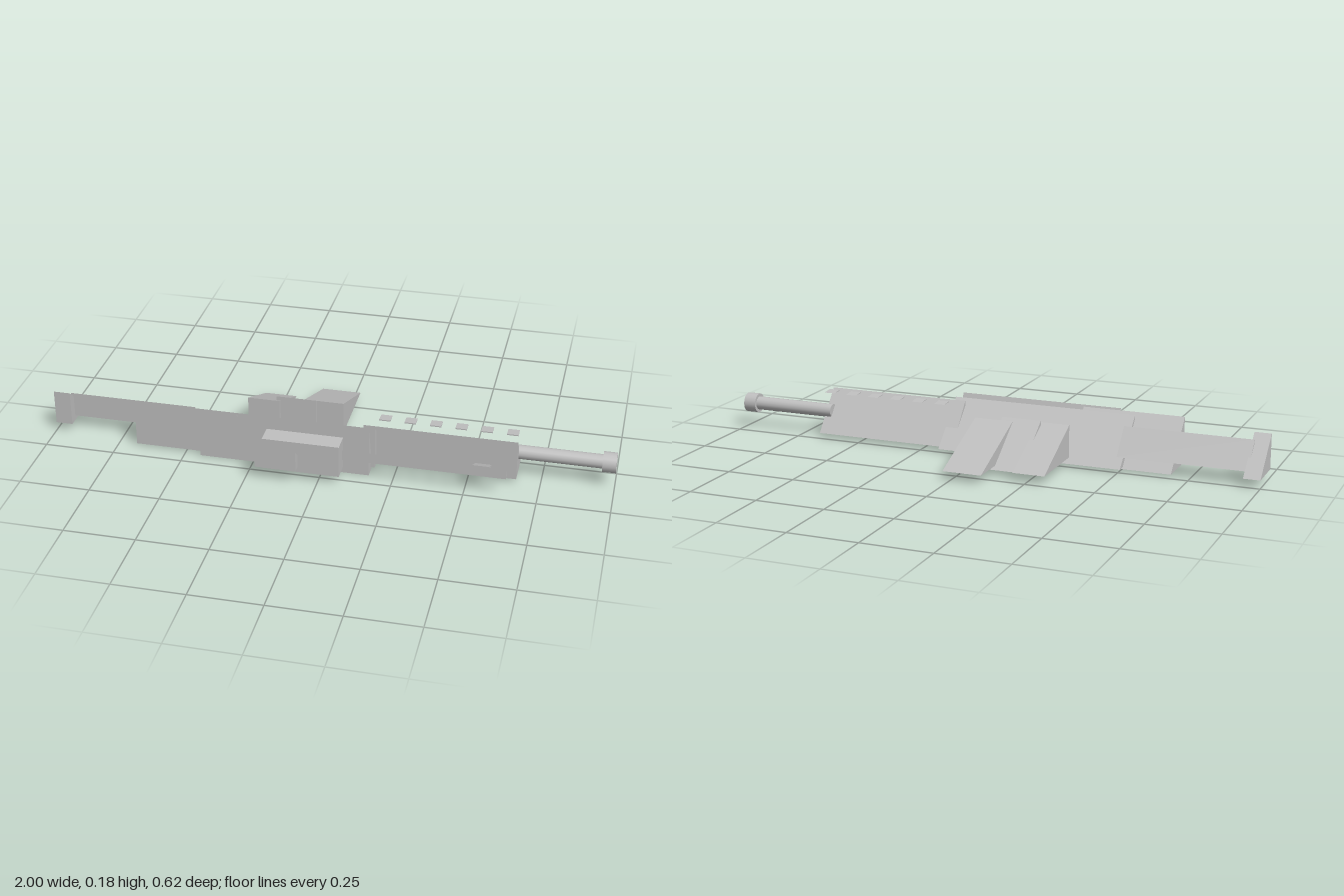
import * as THREE from 'three';

export function createModel() {
  const model = new THREE.Group();
  model.name = 'rifle';
  const grey = new THREE.MeshStandardMaterial({ color: 0xc0c0c0 });
  grey.name = 'grey';

  function add(name, geometry) {
    const mesh = new THREE.Mesh(geometry, grey);
    mesh.name = name;
    model.add(mesh);
    return mesh;
  }

  // Right-angled wedge along x: upright face at zFront, flat base, slope falling to zBack
  function wedge(name, x0, x1, y0, y1, zFront, zBack) {
    const shape = new THREE.Shape([
      new THREE.Vector2(-zFront, y0),
      new THREE.Vector2(-zBack, y0),
      new THREE.Vector2(-zFront, y1),
    ]);
    const geometry = new THREE.ExtrudeGeometry(shape, { depth: x1 - x0, bevelEnabled: false });
    geometry.rotateY(Math.PI / 2).translate(x0, 0, 0);
    return add(name, geometry);
  }

  // Stock and body
  wedge('buttPlate', -1, -0.94, 0.03, 0.157, 0.142, 0);
  wedge('stock', -0.95, -0.485, 0.047, 0.139, 0.108, 0.03);
  wedge('rearBody', -0.683, -0.31, 0.007, 0.174, 0.182, 0.025);
  wedge('receiver', -0.508, 0.177, 0.012, 0.168, 0.163, -0.003);
  wedge('sidePlate', -0.443, 0.163, 0, 0.177, 0.199, 0.134);
  wedge('handguard', 0.13, 0.667, 0.016, 0.163, 0.137, 0.016);

  // Grip and magazines, pointing back
  wedge('rearMagazine', -0.315, -0.2, 0.03, 0.148, 0.016, -0.232);
  wedge('middleMagazine', -0.215, -0.07, 0.02, 0.157, 0, -0.195);
  wedge('grip', -0.115, 0.027, 0.031, 0.148, -0.015, -0.307);

  // Sight rail and scope on the front side
  wedge('rail', -0.41, 0.642, 0.071, 0.109, 0.231, 0.2);
  wedge('railMount', 0.525, 0.582, 0.071, 0.108, 0.225, 0.151);
  add('scope', new THREE.BoxGeometry(0.27, 0.117, 0.068)).position.set(-0.06, 0.09, 0.246);
  wedge('scopeCap', -0.215, -0.07, 0.052, 0.127, 0.31, 0.225);

  // Rows of thin vents above and below the handguard
  for (let i = 0; i < 6; i++) {
    const x = 0.177 + i * 0.089;
    wedge('upperVent', x, x + 0.04, 0.163, 0.167, 0.095, 0.053);
    wedge('lowerVent', x, x + 0.04, 0.011, 0.015, 0.095, 0.053);
  }

  // Barrel and muzzle
  function tube(name, x0, x1, radius) {
    const geometry = new THREE.CylinderGeometry(radius, radius, x1 - x0, 16);
    geometry.rotateZ(-Math.PI / 2);
    add(name, geometry).position.set((x0 + x1) / 2, 0.09, 0.075);
  }
  tube('barrel', 0.64, 0.96, 0.025);
  tube('muzzle', 0.953, 1, 0.036);

  return model;
}
